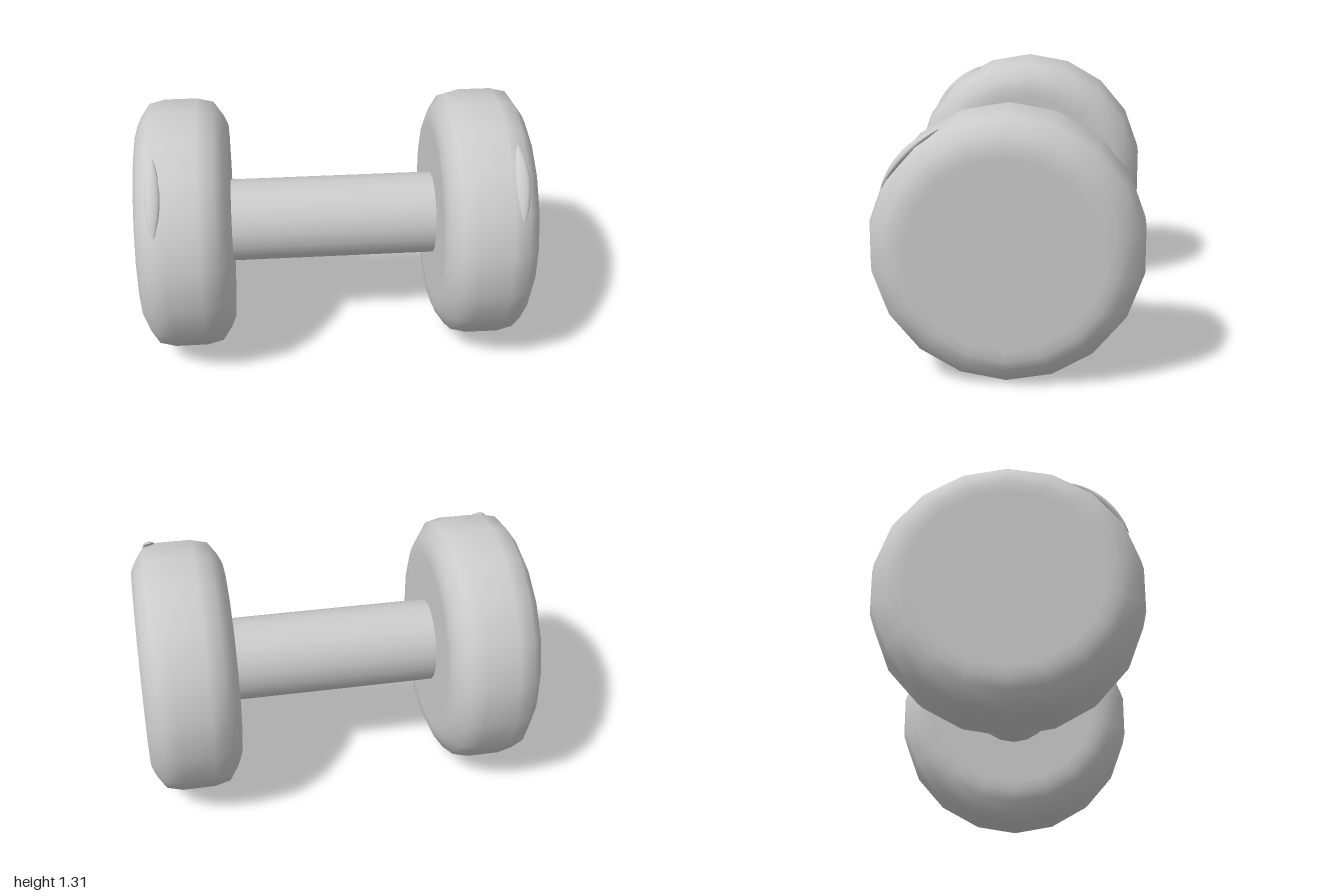
import * as THREE from 'three';

const SIDES = 18;
const AXIS_Y = 0.653;
const END_X = 0.7655;

// Round-shouldered weight, turned about the x axis
function weightGeometry() {
  const half = [[0, 0.2345], [0.46, 0.2345], [0.515, 0.2345], [0.565, 0.212], [0.633, 0.165], [0.653, 0.083]];
  const points = [
    ...half.map(([r, x]) => new THREE.Vector2(r, -x)),
    ...[...half].reverse().map(([r, x]) => new THREE.Vector2(r, x)),
  ];
  return new THREE.LatheGeometry(points, SIDES, Math.PI / 2).rotateZ(-Math.PI / 2);
}

// Slim leaf-shaped inlay, a sphere flattened and bent around the weight's rim
function inlayGeometry() {
  const geometry = new THREE.SphereGeometry(1, 16, 20);
  const p = geometry.attributes.position;
  for (let i = 0; i < p.count; i++) {
    const v = p.getY(i);
    const taper = 0.25 + 0.75 * Math.sqrt(Math.max(0, 1 - v * v));
    const angle = THREE.MathUtils.degToRad(45.8 - 18 * v);
    const r = 0.642 + 0.02 * p.getZ(i) * taper;
    p.setXYZ(i, p.getX(i) * 0.037 * taper, r * Math.cos(angle), r * Math.sin(angle));
  }
  geometry.computeVertexNormals();
  return geometry;
}

export function createModel() {
  const model = new THREE.Group();
  model.name = 'dumbbell';
  const material = new THREE.MeshStandardMaterial({ color: 0xcccccc });

  const add = (name, geometry, x) => {
    const mesh = new THREE.Mesh(geometry, material);
    mesh.name = name;
    mesh.position.set(x, AXIS_Y, 0);
    model.add(mesh);
  };

  // Handle bar
  const bar = new THREE.CylinderGeometry(0.217, 0.217, 1.1, SIDES, 1, false, Math.PI / 2);
  add('handle', bar.rotateZ(-Math.PI / 2), 0);

  // Weights with their inlays, mirrored left and right
  const weight = weightGeometry();
  const inlay = inlayGeometry();
  for (const [side, s] of [['left', 1], ['right', -1]]) {
    add(`${side}Weight`, weight, s * END_X);
    add(`${side}Inlay`, inlay, s * 0.895);
  }

  return model;
}
